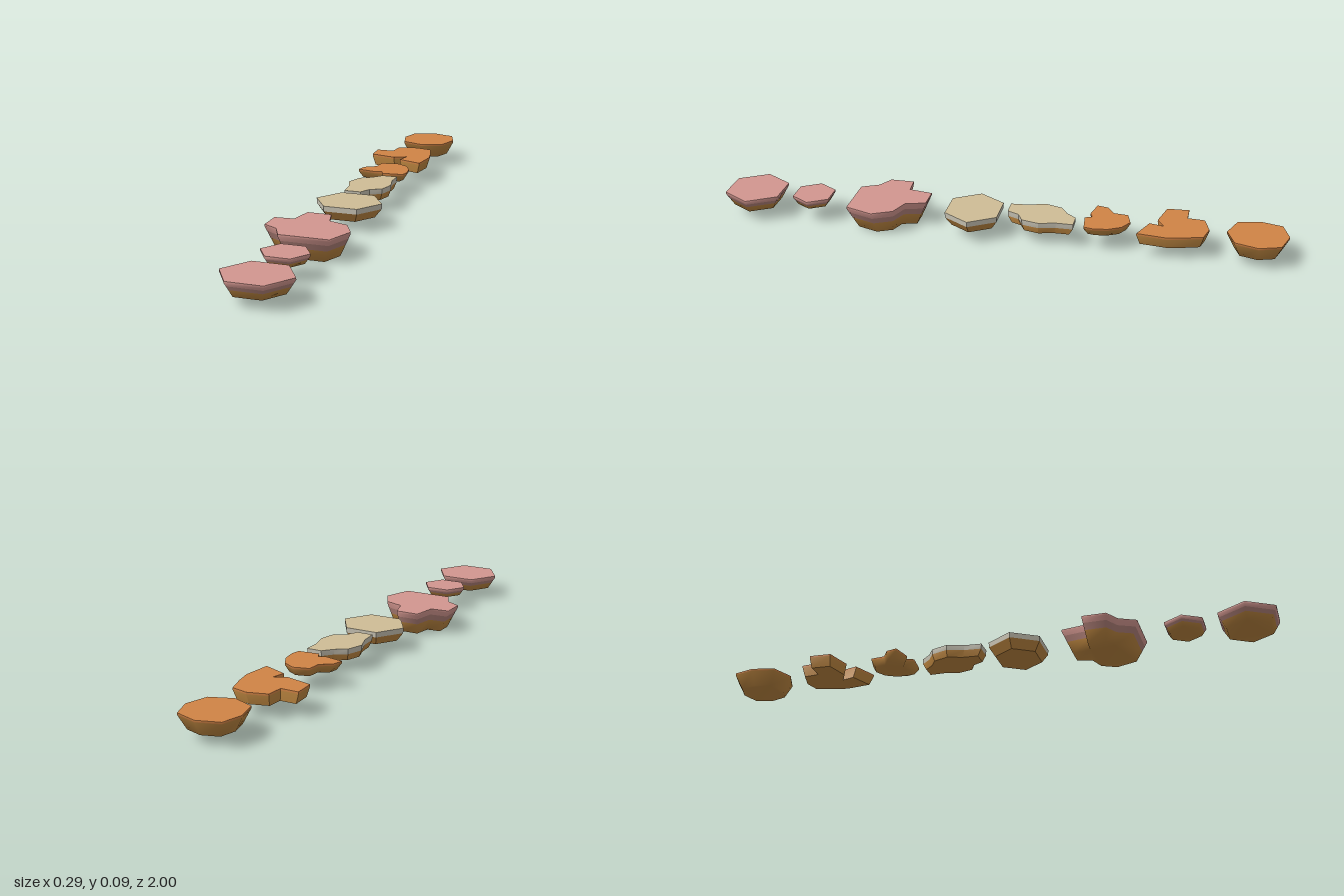
import * as THREE from 'three';
import { toCreasedNormals } from 'three/addons/utils/BufferGeometryUtils.js';

const TOP = 0.087;
const mat = (name, color) => new THREE.MeshStandardMaterial({ name, color });

// Regular-looking six-sided outline
const hexagon = (cx, cz, rx, rz) => [
  [cx - rx / 2, cz - rz], [cx + rx / 2, cz - rz], [cx + rx, cz],
  [cx + rx / 2, cz + rz], [cx - rx / 2, cz + rz], [cx - rx, cz],
];

// Flat top cap plus tapering sides; layers run downwards as [y, scale, material]
function island(name, outline, topMaterial, layers, smooth) {
  const group = new THREE.Group();
  group.name = name;
  const pts = outline.map(([x, z]) => new THREE.Vector2(x, -z));
  if (THREE.ShapeUtils.isClockWise(pts)) pts.reverse();
  const n = pts.length;
  const box = new THREE.Box2().setFromPoints(pts);
  const c = box.getCenter(new THREE.Vector2());
  const ring = (y, s) => pts.flatMap(p => [c.x + (p.x - c.x) * s, y, -(c.y + (p.y - c.y) * s)]);
  const faces = THREE.ShapeUtils.triangulateShape(pts, []);

  // Grass or ground cap
  const cap = new THREE.BufferGeometry();
  cap.setAttribute('position', new THREE.Float32BufferAttribute(ring(TOP, 1), 3));
  cap.setIndex(faces.flat());
  cap.computeVertexNormals();
  const capMesh = new THREE.Mesh(cap, topMaterial);
  capMesh.name = 'topSurface';

  // Sides and underside
  const positions = ring(TOP, 1), index = [], materials = [];
  let body = new THREE.BufferGeometry();
  layers.forEach(([y, s, material], k) => {
    positions.push(...ring(y, s));
    const start = index.length;
    for (let i = 0; i < n; i++) {
      const a = k * n + i, b = k * n + (i + 1) % n;
      index.push(a + n, b + n, b, a + n, b, a);
    }
    materials.push(material);
    body.addGroup(start, index.length - start, k);
  });
  const start = index.length, last = layers.length;
  faces.forEach(([p, q, r]) => index.push(last * n + r, last * n + q, last * n + p));
  body.addGroup(start, index.length - start, last - 1);
  body.setAttribute('position', new THREE.Float32BufferAttribute(positions, 3));
  body.setIndex(index);
  if (smooth) body.computeVertexNormals();
  else body = toCreasedNormals(body, 0.35);
  const bodyMesh = new THREE.Mesh(body, materials);
  bodyMesh.name = 'taperedBase';

  group.add(capMesh, bodyMesh);
  return group;
}

export function createModel() {
  const orange = mat('orange ground', 0xd08345);
  const pink = mat('pink ground', 0xd2968f);
  const mauve = mat('mauve soil', 0xb08078);
  const sand = mat('sand', 0xcebc96);
  const stone = mat('pale stone rim', 0xc6c1b2);
  const earth = mat('earth', 0xbd8640);

  const model = new THREE.Group();
  model.name = 'floatingIslands';

  // Layer recipes for each terrain type
  const orangeLayers = (bottom, s) => [[0.08, 1, orange], [bottom, s, earth]];
  const sandLayers = (bottom, s) => [[0.068, 0.99, stone], [bottom, s, earth]];
  const pinkLayers = (bottom, s) => {
    const at = t => 0.08 + (bottom - 0.08) * t;
    const sc = t => 1 + (s - 1) * t;
    return [[0.08, 1, pink], [at(0.2), sc(0.2), pink], [at(0.48), sc(0.48), mauve], [bottom, s, earth]];
  };

  // Orange islands at the back
  model.add(island('orangeRoundIsland', [
    [0.02, -1], [0.1, -0.975], [0.125, -0.9], [0.1, -0.82],
    [0.02, -0.79], [-0.06, -0.82], [-0.08, -0.9], [-0.06, -0.975],
  ], orange, orangeLayers(0.031, 0.75), true));
  model.add(island('orangeForkedIsland', [
    [-0.12, -0.65], [-0.055, -0.65], [-0.05, -0.71], [0.02, -0.73], [0.08, -0.715], [0.1, -0.65],
    [0.112, -0.59], [0.1, -0.49], [0.012, -0.525], [0.025, -0.575], [-0.02, -0.55], [-0.115, -0.573],
  ], orange, orangeLayers(0.044, 0.9), false));
  model.add(island('orangeSmallIsland', [
    [-0.09, -0.33], [-0.08, -0.37], [-0.04, -0.395], [-0.035, -0.445], [0.02, -0.46], [0.065, -0.435],
    [0.09, -0.39], [0.097, -0.34], [0.09, -0.308], [0.015, -0.3], [0.003, -0.325], [-0.02, -0.315],
  ], orange, orangeLayers(0.056, 0.83), true));

  // Sand islands in the middle
  model.add(island('sandWindingIsland', [
    [0.025, -0.27], [0.08, -0.27], [0.08, -0.21], [0.095, -0.15], [0.08, -0.09], [0.04, -0.07],
    [0.02, -0.028], [-0.04, -0.028], [-0.045, -0.09], [-0.065, -0.15], [-0.045, -0.21], [-0.005, -0.235],
  ], sand, sandLayers(0.044, 0.88), false));
  model.add(island('sandHexIsland', hexagon(0.02, 0.092, 0.12, 0.093), sand, sandLayers(0.036, 0.78), false));

  // Pink islands at the front
  model.add(island('pinkLargeIsland', [
    [-0.065, 0.27], [0.02, 0.27], [0.04, 0.34], [0.11, 0.365], [0.146, 0.435], [0.11, 0.535],
    [-0.065, 0.535], [-0.095, 0.475], [-0.148, 0.445], [-0.148, 0.36], [-0.08, 0.355],
  ], pink, pinkLayers(0, 0.74), true));
  model.add(island('pinkSmallIsland', hexagon(0.022, 0.685, 0.083, 0.066), pink, pinkLayers(0.053, 0.77), true));
  model.add(island('pinkHexIsland', hexagon(0.022, 0.902, 0.122, 0.098), pink, pinkLayers(0.033, 0.75), true));

  return model;
}
